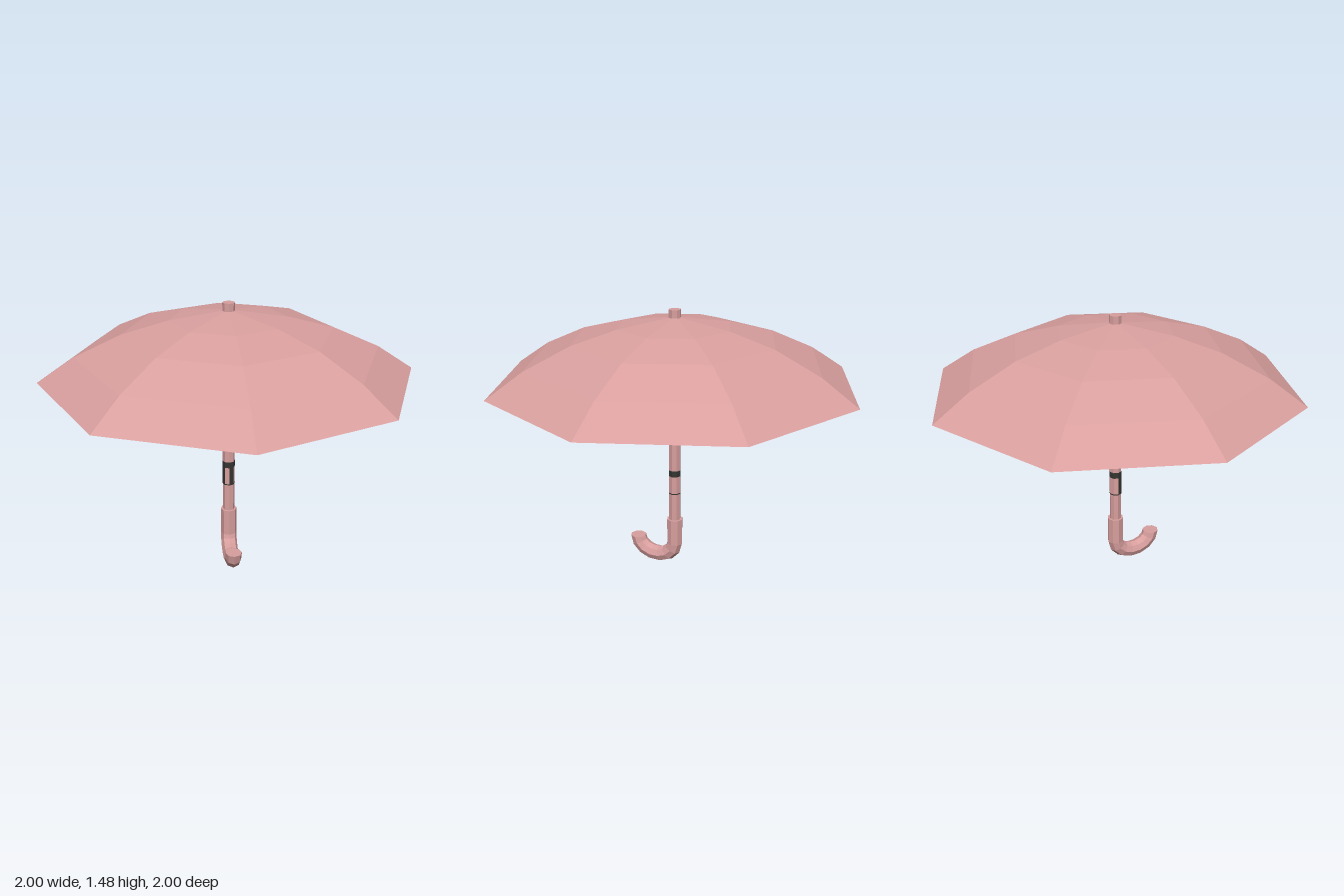
import * as THREE from 'three';

export function createModel() {
  const group = new THREE.Group();
  const pink = new THREE.MeshStandardMaterial({ name: 'dustyPink', color: 0xd89f9e, flatShading: true });
  const fabric = new THREE.MeshStandardMaterial({ name: 'pinkFabric', color: 0xd89f9e, flatShading: true, side: THREE.DoubleSide });
  const dark = new THREE.MeshStandardMaterial({ name: 'charcoal', color: 0x353532, flatShading: true, side: THREE.DoubleSide });

  const add = (name, geometry, material, y = 0) => {
    const mesh = new THREE.Mesh(geometry, material);
    mesh.name = name;
    mesh.position.y = y;
    group.add(mesh);
    return mesh;
  };

  // Eight-panel canopy, open underneath
  const profile = [[1, 1.09], [0.805, 1.22], [0.557, 1.333], [0.31, 1.4], [0, 1.447]]
    .map(([r, y]) => new THREE.Vector2(r, y));
  add('canopy', new THREE.LatheGeometry(profile, 8), fabric);

  // Shaft, running through the canopy to the tip
  add('shaft', new THREE.CylinderGeometry(0.033, 0.033, 1.225, 8), pink, 0.8725);

  // Hooked handle: a straight cylinder bent along a path
  const rows = 8;
  const handle = new THREE.CylinderGeometry(0.045, 0.045, 1, 8, rows);
  const p = handle.attributes.position;
  for (let i = 0; i < p.count; i++) {
    const row = Math.round((0.5 - p.getY(i)) * rows);
    const angle = Math.max(0, row - 1) / (rows - 1) * Math.PI;
    const offset = p.getZ(i);
    const y = row === 0 ? 0.29 : 0.137 - 0.092 * Math.sin(angle) + offset * Math.sin(angle);
    const z = 0.118 - 0.118 * Math.cos(angle) + offset * Math.cos(angle);
    p.setXYZ(i, p.getX(i), y, z);
  }
  handle.computeVertexNormals();
  add('handle', handle, pink);

  // Thin dark patches wrapped round the shaft
  const patch = (name, bottom, top, start, sides) => add(name,
    new THREE.CylinderGeometry(0.0345, 0.0345, top - bottom, sides, 1, true, start * Math.PI / 4, sides * Math.PI / 4),
    dark, (bottom + top) / 2);
  patch('collarBand', 0.555, 0.59, 0, 8);
  patch('collarLowerEdge', 0.449, 0.455, 0, 8);
  patch('collarFrontPlate', 0.45, 0.59, 0, 1);
  patch('collarSidePlate', 0.45, 0.59, 6, 1);
  patch('runnerCatch', 1.01, 1.07, 0, 1);

  return group;
}
